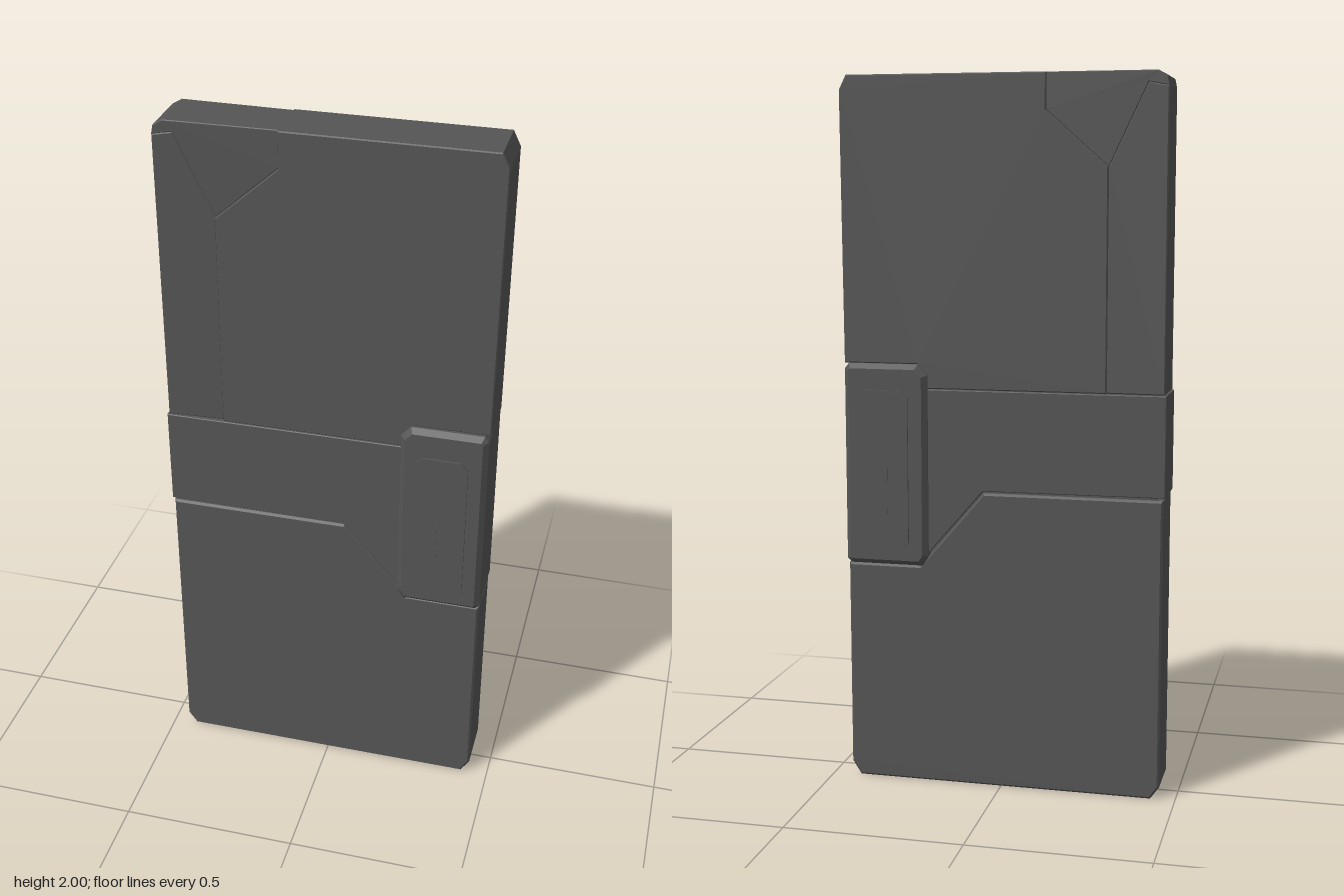
import * as THREE from 'three';

export function createModel() {
  const group = new THREE.Group();
  const casing = new THREE.MeshStandardMaterial({ color: 0x555555 });
  casing.name = 'charcoal casing';

  const add = (name, geometry) => {
    const mesh = new THREE.Mesh(geometry, casing);
    mesh.name = name;
    group.add(mesh);
    return mesh;
  };

  // Slab with the given outline, centred on z, with softened edges
  const slab = (points, half, bevel) => {
    const shape = new THREE.Shape(points.map(([x, y]) => new THREE.Vector2(x, y)));
    const geometry = new THREE.ExtrudeGeometry(shape, {
      depth: 2 * (half - bevel), bevelEnabled: bevel > 0,
      bevelThickness: bevel, bevelSize: bevel, bevelOffset: -bevel, bevelSegments: 1,
    });
    return geometry.translate(0, 0, bevel - half);
  };

  // Lower cover, its top edge stepping down beside the clasp
  add('lowerCover', slab([
    [-0.43, 0], [0.42, 0], [0.445, 0.04], [0.445, 0.635], [0.235, 0.635],
    [0.05, 0.852], [-0.455, 0.852], [-0.455, 0.035],
  ], 0.08, 0.006));

  // Strap across the middle, flaring into the clasp
  add('strap', slab([
    [-0.46, 0.86], [0.05, 0.858], [0.23, 0.65], [0.23, 1.14], [-0.46, 1.14],
  ], 0.081, 0.002));

  // Upper cover, cut away at its upper right
  add('upperCover', slab([
    [-0.295, 1.142], [0.21, 1.142], [0.24, 1.21], [0.45, 1.21], [0.455, 1.96],
    [0.435, 2], [-0.125, 2], [-0.125, 1.9], [-0.295, 1.75],
  ], 0.08, 0.003));

  // Spine strip, sinking slightly towards the cover
  const spine = slab([
    [-0.455, 1.142], [-0.295, 1.142], [-0.295, 1.75], [-0.40, 1.97], [-0.455, 1.96],
  ], 0.079, 0.003);
  const sink = (geometry, depth) => {
    const p = geometry.attributes.position;
    for (let i = 0; i < p.count; i++) {
      const t = THREE.MathUtils.clamp((p.getX(i) + 0.455) / 0.16, 0, 1);
      p.setZ(i, p.getZ(i) * (1 - depth * t));
    }
    geometry.computeVertexNormals();
    return geometry;
  };
  add('spineStrip', sink(spine, 0.1));

  // Faceted corner guard
  add('cornerGuard', sink(slab([
    [-0.455, 1.96], [-0.40, 1.97], [-0.295, 1.75], [-0.125, 1.9], [-0.125, 2],
    [-0.425, 2], [-0.45, 1.985],
  ], 0.079, 0.002), 0.08));

  // Inner core closing the seams
  const core = new THREE.BoxGeometry(0.86, 1.92, 0.13);
  core.translate(-0.005, 1, 0);
  add('core', core);

  // Clasp block wrapping the edge
  add('clasp', slab([
    [0.225, 0.638], [0.435, 0.638], [0.447, 0.65], [0.447, 1.195], [0.435, 1.21],
    [0.235, 1.21], [0.208, 1.18], [0.208, 0.665],
  ], 0.1, 0.014));

  // Thin raised plates on both clasp faces, each with a keel pointing inwards
  const c = 0.02;
  const plate = [
    [0.255 + c, 0.69], [0.40 - c, 0.69], [0.40, 0.69 + c], [0.40, 1.14 - c],
    [0.40 - c, 1.14], [0.255 + c, 1.14], [0.255, 1.14 - c], [0.255, 0.69 + c],
  ];
  for (const side of [1, -1]) {
    const name = side > 0 ? 'front' : 'back';
    add(name + 'ClaspPlate', slab(plate, 0.003, 0)).position.z = side * 0.122;

    const keel = new THREE.ConeGeometry(Math.SQRT1_2, 1, 4, 1).rotateY(Math.PI / 4);
    keel.rotateX(-side * Math.PI / 2);
    keel.scale(0.11, 0.40, 0.016);
    add(name + 'ClaspKeel', keel).position.set(0.327, 0.915, side * 0.112);

    // Shallow upright rib on the plate
    const rib = new THREE.BoxGeometry(0.008, 0.14, 0.002);
    add(name + 'ClaspRib', rib).position.set(0.318, 0.86, side * 0.1255);
  }

  return group;
}
